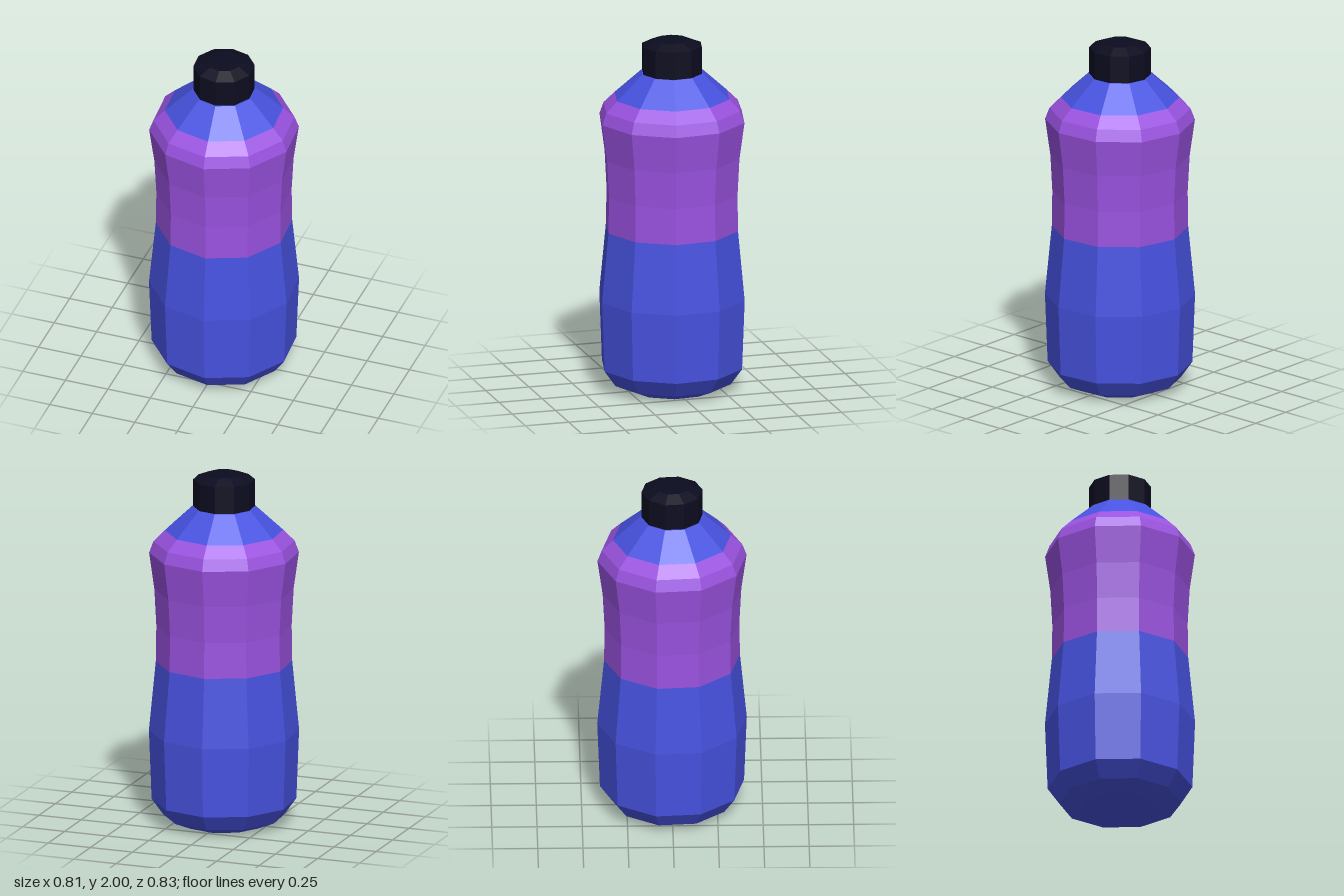
import * as THREE from 'three';

const SIDES = 10;
const PHASE = THREE.MathUtils.degToRad(4.4); // slight twist of the ten-sided body

const makeMaterial = (name, color) => {
  const m = new THREE.MeshStandardMaterial({ color, flatShading: true });
  m.name = name;
  return m;
};

// Ten-sided turned part from [radius, height] pairs, bottom to top
function turned(name, profile, material) {
  const points = profile.map(([r, y]) => new THREE.Vector2(r, y));
  const mesh = new THREE.Mesh(new THREE.LatheGeometry(points, SIDES, PHASE), material);
  mesh.name = name;
  return mesh;
}

export function createModel() {
  const blue = makeMaterial('bottle blue', 0x4752e0);
  const purple = makeMaterial('label purple', 0x9a52e0);
  const black = makeMaterial('cap black', 0x0c0c20);

  const bottle = new THREE.Group();
  bottle.name = 'bottle';

  bottle.add(
    // Closed base with a bulging lower body
    turned('lowerBody', [
      [0, 0], [0.232, 0], [0.336, 0.045], [0.4, 0.135], [0.415, 0.53], [0.377, 0.925],
    ], blue),
    // Waisted grip flaring to the shoulder
    turned('upperBody', [
      [0.377, 0.925], [0.374, 1.13], [0.385, 1.34], [0.414, 1.55], [0.39, 1.615], [0.327, 1.678],
    ], purple),
    // Sloping shoulder, closed under the cap
    turned('shoulder', [[0.327, 1.678], [0.177, 1.815], [0, 1.815]], blue),
    // Screw cap with a bevelled top
    turned('cap', [[0.17, 1.812], [0.17, 1.97], [0.098, 2], [0, 2]], black),
  );
  return bottle;
}
